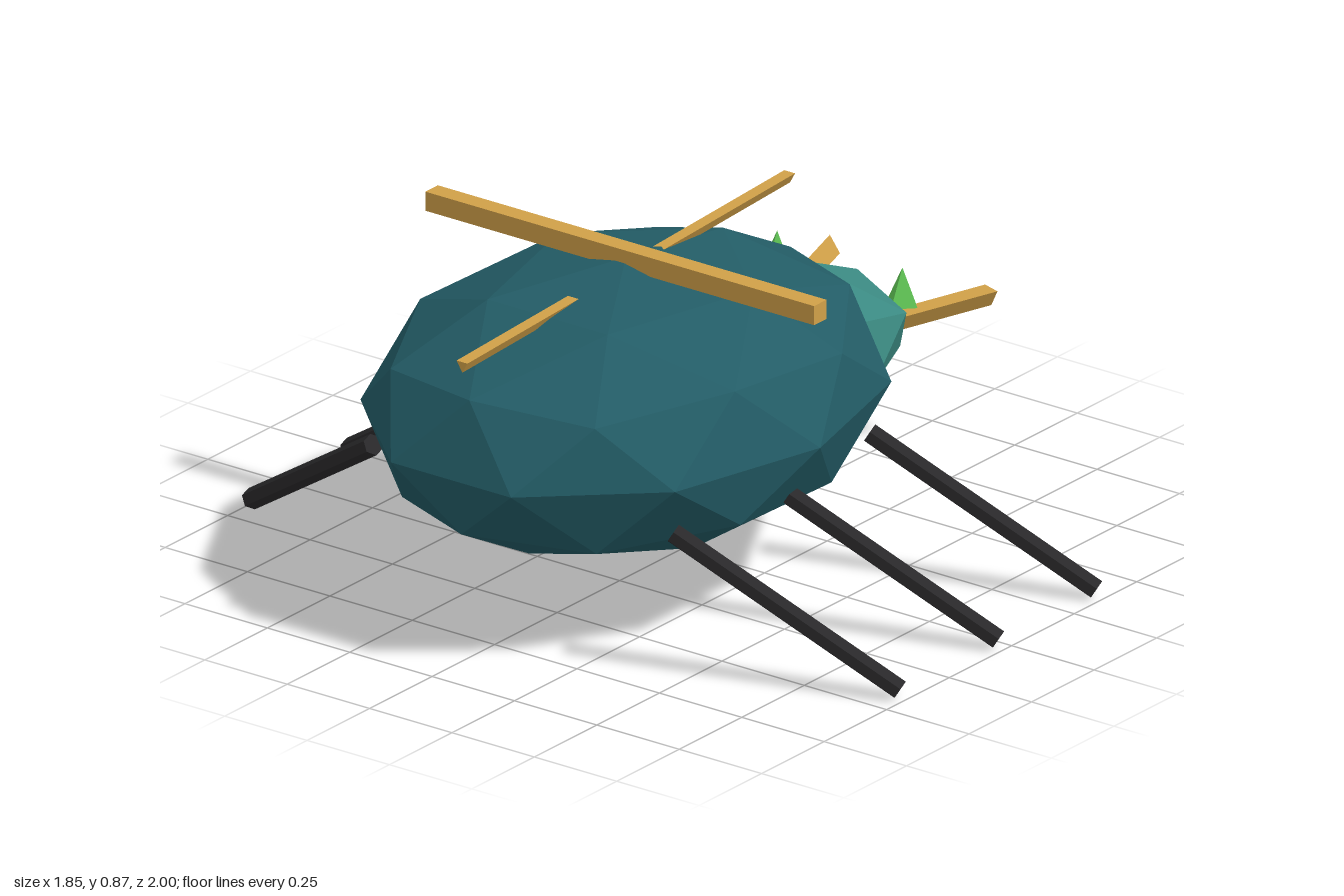
import * as THREE from 'three';

const material = (name, color) => {
  const m = new THREE.MeshStandardMaterial({ color, flatShading: true });
  m.name = name;
  return m;
};

export function createModel() {
  const model = new THREE.Group();
  const teal = material('deep teal', 0x235c66);
  const aqua = material('light teal', 0x3b8a82);
  const black = material('black', 0x2a292b);
  const gold = material('gold', 0xd0a048);
  const green = material('green', 0x62c857);

  const add = (name, geometry, mat) => {
    const mesh = new THREE.Mesh(geometry, mat);
    mesh.name = name;
    model.add(mesh);
    return mesh;
  };

  // Faceted ball with a corner pointing straight up, stretched to an ellipsoid
  const facetedBall = (name, mat, detail, radii, centre) => {
    const g = new THREE.IcosahedronGeometry(1, detail);
    g.rotateZ(-Math.atan(2 / (1 + Math.sqrt(5))));
    g.scale(...radii);
    g.computeVertexNormals();
    add(name, g, mat).position.set(...centre);
  };

  // Prism from a to b; one ridge points towards ridgeY (1 up, -1 down)
  const prism = (name, mat, a, b, radius, sides, ridgeY) => {
    const start = new THREE.Vector3(...a), end = new THREE.Vector3(...b);
    const along = end.clone().sub(start);
    const length = along.length();
    along.normalize();
    const ridge = new THREE.Vector3(0, ridgeY, 0);
    ridge.addScaledVector(along, -ridge.dot(along)).normalize();
    const side = new THREE.Vector3().crossVectors(along, ridge);
    const mesh = add(name, new THREE.CylinderGeometry(radius, radius, length, sides), mat);
    mesh.quaternion.setFromRotationMatrix(new THREE.Matrix4().makeBasis(side, along, ridge));
    mesh.position.copy(start).add(end).multiplyScalar(0.5);
  };

  // Shell and head
  facetedBall('body', teal, 1, [0.736, 0.35, 0.59], [-0.225, 0.49, 0]);
  facetedBall('head', aqua, 0, [0.235, 0.165, 0.305], [0.49, 0.425, 0]);

  // Gold bands across and along the shell
  add('crossBand', new THREE.BoxGeometry(0.05, 0.05, 1.18), gold).position.set(-0.225, 0.845, 0);
  prism('spineBand', gold, [-0.88, 0.775, 0], [0.43, 0.835, 0], 0.019, 3, -1);

  for (const s of [1, -1]) {
    const sideName = s > 0 ? 'front' : 'back';

    // Three splayed legs on each side
    for (const x of [-0.425, -0.032, 0.36]) {
      prism(sideName + 'SideLeg', black, [x - 0.21, 0.37, s * 0.455], [x, 0.023, s * 0.984], 0.027, 6, 1);
    }

    // Mandible and pointed eye
    prism(sideName + 'SideMandible', gold, [0.58, 0.425, s * 0.14], [0.913, 0.425, s * 0.245], 0.03, 3, -s);
    add(sideName + 'SideEye', new THREE.ConeGeometry(0.046, 0.095, 4), green).position.set(0.63, 0.527, s * 0.19);
  }
  return model;
}
